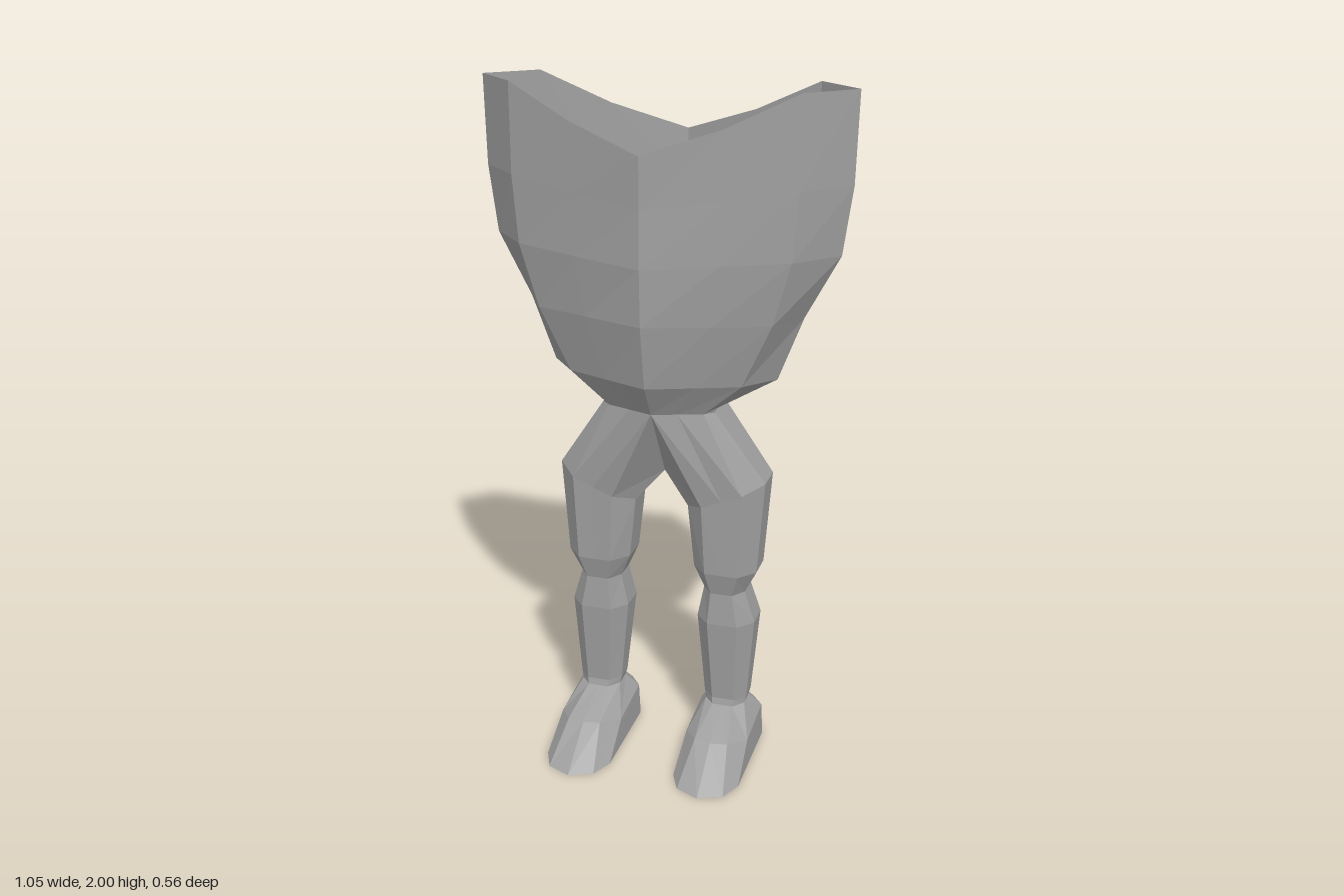
import * as THREE from 'three';

// Skin closed rings of points, listed from top to bottom, with flat facets
function loft(name, rings, flip, material) {
  const pos = [];
  const tri = (a, b, c) => (flip ? [a, c, b] : [a, b, c]).forEach(p => pos.push(...p));
  for (let r = 0; r < rings.length - 1; r++) {
    const a = rings[r], b = rings[r + 1], n = a.length;
    for (let i = 0; i < n; i++) {
      const j = (i + 1) % n;
      tri(a[i], a[j], b[i]);
      tri(a[j], b[j], b[i]);
    }
  }
  const geo = new THREE.BufferGeometry();
  geo.setAttribute('position', new THREE.Float32BufferAttribute(pos, 3));
  geo.computeVertexNormals();
  const mesh = new THREE.Mesh(geo, material);
  mesh.name = name;
  return mesh;
}

// Torso ring: outer point, quarter point, then front and back depths
function torsoRing({ y, xo, x2, x1, f, b, f2, b2 }) {
  const [y0, y1, y2, y3] = y;
  const t = x1 / x2;
  const f1 = f + (f2 - f) * t, b1 = b + (b2 - b) * t;
  const half = [[x1, y1, f1], [x2, y2, f2], [xo, y3, -0.05], [x2, y2, b2], [x1, y1, b1]];
  const mirrored = half.map(([x, yy, z]) => [-x, yy, z]).reverse();
  return [[0, y0, f], ...half, [0, y0, b], ...mirrored];
}

// Leg ring: octagon with an extra front midpoint; yi and yo tilt it sideways
function legRing(yi, yo, xi, xo, zf, zb) {
  const cx = (xo - xi) * 0.24, cz = (zf - zb) * 0.27;
  return [
    [xo, zf - cz], [xo - cx, zf], [(xi + xo) / 2, zf], [xi + cx, zf], [xi, zf - cz],
    [xi, zb + cz], [xi + cx, zb], [xo - cx, zb], [xo, zb + cz],
  ].map(([x, z]) => [x, yi + (yo - yi) * (x - xi) / (xo - xi), z]);
}

export function createModel() {
  const grey = new THREE.MeshStandardMaterial({ color: 0xa0a0a0, flatShading: true, side: THREE.DoubleSide });
  grey.name = 'plain grey';
  const model = new THREE.Group();
  model.name = 'lowerBody';

  // Open torso shell with a dipped rim
  const level = y => [y, y, y, y];
  const torso = [
    { y: [1.84, 1.91, 2, 2], xo: 0.525, x2: 0.4, x1: 0.21, f: 0.185, b: -0.28, f2: 0.07, b2: -0.165 },
    { y: [1.7, 1.72, 1.75, 1.75], xo: 0.52, x2: 0.4, x1: 0.21, f: 0.182, b: -0.277, f2: 0.07, b2: -0.165 },
    { y: [1.54, 1.55, 1.56, 1.56], xo: 0.495, x2: 0.385, x1: 0.2, f: 0.185, b: -0.28, f2: 0.07, b2: -0.165 },
    { y: level(1.38), xo: 0.4, x2: 0.335, x1: 0.18, f: 0.178, b: -0.272, f2: 0.06, b2: -0.16 },
    { y: level(1.195), xo: 0.33, x2: 0.25, x1: 0.13, f: 0.143, b: -0.243, f2: 0.045, b2: -0.145 },
    { y: level(1.1), xo: 0.172, x2: 0.14, x1: 0.07, f: 0.083, b: -0.19, f2: 0.035, b2: -0.14 },
  ].map(torsoRing);
  model.add(loft('torso', torso, true, grey));

  // Hip opening meets the torso, with the crotch saddle on the centre line
  const hip = [
    [0.165, 1.1, 0.01], [0.14, 1.1, 0.035], [0.07, 1.1, 0.059], [0, 1.1, 0.083], [0, 0.88, -0.055],
    [0, 0.88, -0.055], [0, 1.1, -0.19], [0.14, 1.1, -0.14], [0.165, 1.1, -0.11],
  ];
  const ankle = legRing(0.15, 0.15, 0.14, 0.26, 0, -0.125);
  const leg = [
    hip,
    legRing(0.79, 0.885, 0.08, 0.31, 0.035, -0.175),
    legRing(0.6, 0.6, 0.1, 0.29, 0.028, -0.165),
    legRing(0.53, 0.53, 0.13, 0.255, 0.01, -0.145),
    legRing(0.43, 0.43, 0.11, 0.285, 0.015, -0.165),
    legRing(0.17, 0.17, 0.135, 0.265, -0.005, -0.13),
    ankle,
  ];

  // Hollow foot: instep and toe cap flare to the ground
  const foot = [
    ankle,
    [
      [0.295, 0.08, 0.06], [0.25, 0.1, 0.13], [0.2, 0.1, 0.14], [0.15, 0.1, 0.13], [0.105, 0.08, 0.06],
      [0.105, 0.1, -0.12], [0.14, 0.1, -0.163], [0.26, 0.1, -0.163], [0.295, 0.1, -0.12],
    ],
    [
      [0.3, 0, 0.185], [0.27, 0, 0.25], [0.2, 0, 0.28], [0.13, 0, 0.25], [0.1, 0, 0.185],
      [0.1, 0, -0.12], [0.14, 0, -0.163], [0.26, 0, -0.163], [0.3, 0, -0.12],
    ],
  ];

  for (const [side, s] of [['left', 1], ['right', -1]]) {
    const mirror = rings => rings.map(r => r.map(([x, y, z]) => [s * x, y, z]));
    model.add(loft(side + 'Leg', mirror(leg), s < 0, grey));
    model.add(loft(side + 'Foot', mirror(foot), s < 0, grey));
  }
  return model;
}
